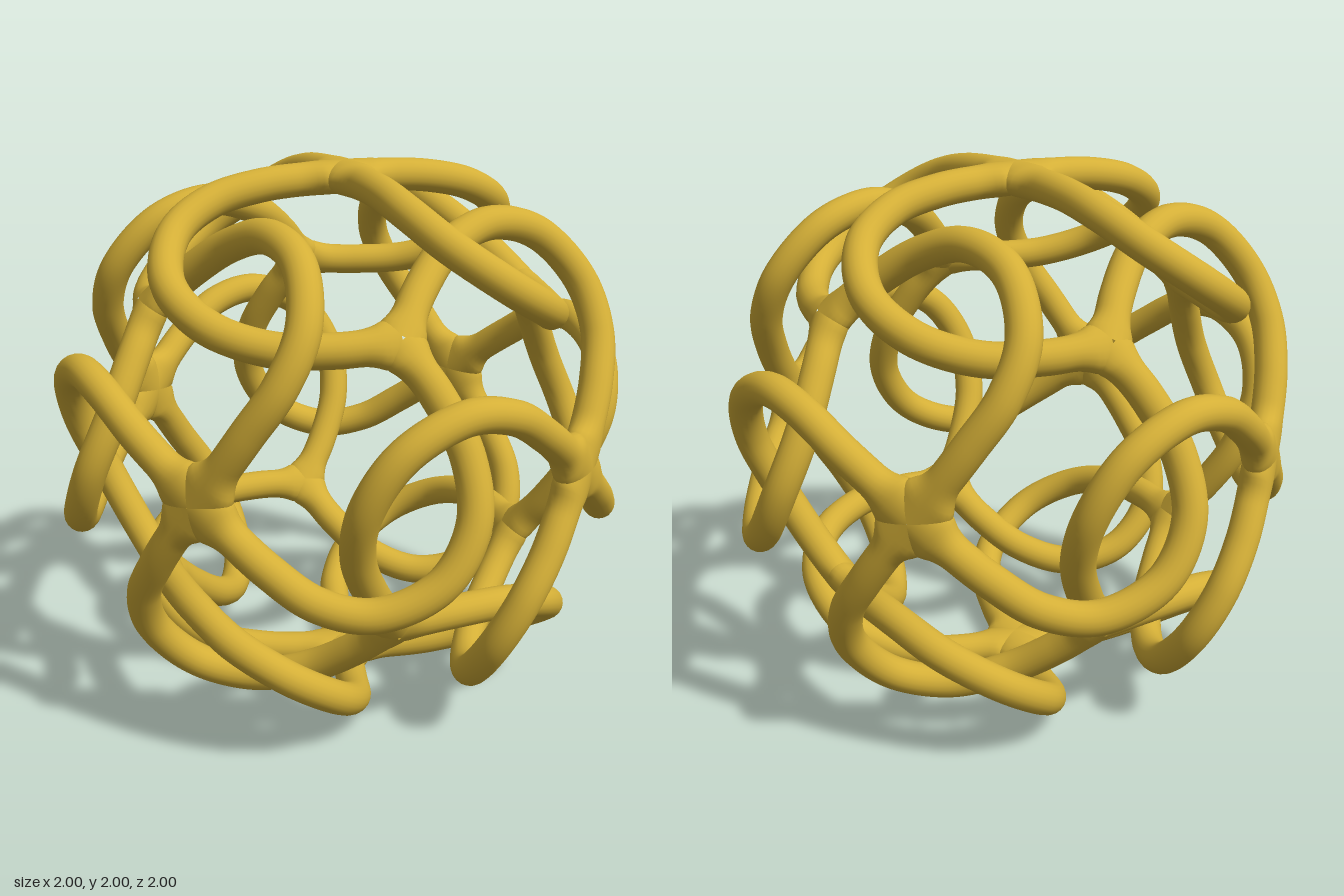
import * as THREE from 'three';

const RADIUS = 0.06;

// Half-width of a strut at distance s from a junction, widened by a circular
// fillet towards its neighbours; halfAngle is half the angle between arms.
function flare(s, fillet, halfAngle) {
  const reach = (RADIUS + fillet) / Math.tan(halfAngle);
  const crotch = reach - fillet * Math.cos(halfAngle);
  const d = reach - Math.max(s, crotch);
  return d <= 0 ? RADIUS : RADIUS + fillet - Math.sqrt(fillet * fillet - d * d);
}

// One looping strut from a four-way junction to a three-way junction
function strutGeometry() {
  const path = new THREE.CatmullRomCurve3([
    [0, 0, 0.94], [0.08, 0.105, 0.938], [0.19, 0.26, 0.925], [0.29, 0.42, 0.882],
    [0.322, 0.59, 0.795], [0.225, 0.76, 0.665], [0.04, 0.815, 0.56],
    [-0.16, 0.755, 0.497], [-0.34, 0.64, 0.488], [-0.435, 0.56, 0.495], [-0.5, 0.5, 0.5],
  ].map((p) => new THREE.Vector3(...p)));
  path.arcLengthDivisions = 600;
  const length = path.getLength();
  const rings = 100, sides = 20;
  const positions = [], indices = [];
  for (let i = 0; i <= rings; i++) {
    const t = i / rings;
    const centre = path.getPointAt(t);
    const tangent = path.getTangentAt(t);
    const across = tangent.clone().cross(centre).normalize();
    const out = across.clone().cross(tangent);
    const width = Math.max(
      flare(t * length, 0.13, Math.PI / 4),
      flare((1 - t) * length, 0.18, Math.PI / 3));
    for (let j = 0; j < sides; j++) {
      const a = (j / sides) * Math.PI * 2;
      const p = centre.clone()
        .addScaledVector(out, RADIUS * Math.cos(a))
        .addScaledVector(across, width * Math.sin(a));
      positions.push(p.x, p.y, p.z);
      if (i < rings) {
        const k = (j + 1) % sides;
        const p0 = i * sides + j, p1 = i * sides + k;
        indices.push(p0, p1, p0 + sides, p1, p1 + sides, p0 + sides);
      }
    }
  }
  const geometry = new THREE.BufferGeometry();
  geometry.setAttribute('position', new THREE.Float32BufferAttribute(positions, 3));
  geometry.setIndex(indices);
  geometry.computeVertexNormals();
  return geometry;
}

export function createModel() {
  const model = new THREE.Group();
  model.name = 'knottedSphere';
  const material = new THREE.MeshStandardMaterial({ color: 0xd4af37 });
  const geometry = strutGeometry();
  const q = Math.PI / 2;
  // Four struts around each of the six cube directions
  const faces = {
    front: [0, 0], left: [0, q], back: [0, 2 * q], right: [0, -q], top: [-q, 0], bottom: [q, 0],
  };
  for (const [name, [rx, ry]] of Object.entries(faces)) {
    const crossing = new THREE.Group();
    crossing.name = name + 'Crossing';
    crossing.rotation.set(rx, ry, 0);
    crossing.position.y = 1;
    for (let i = 0; i < 4; i++) {
      const strut = new THREE.Mesh(geometry, material);
      strut.name = 'loopStrut';
      strut.rotation.z = i * q;
      crossing.add(strut);
    }
    model.add(crossing);
  }
  return model;
}
